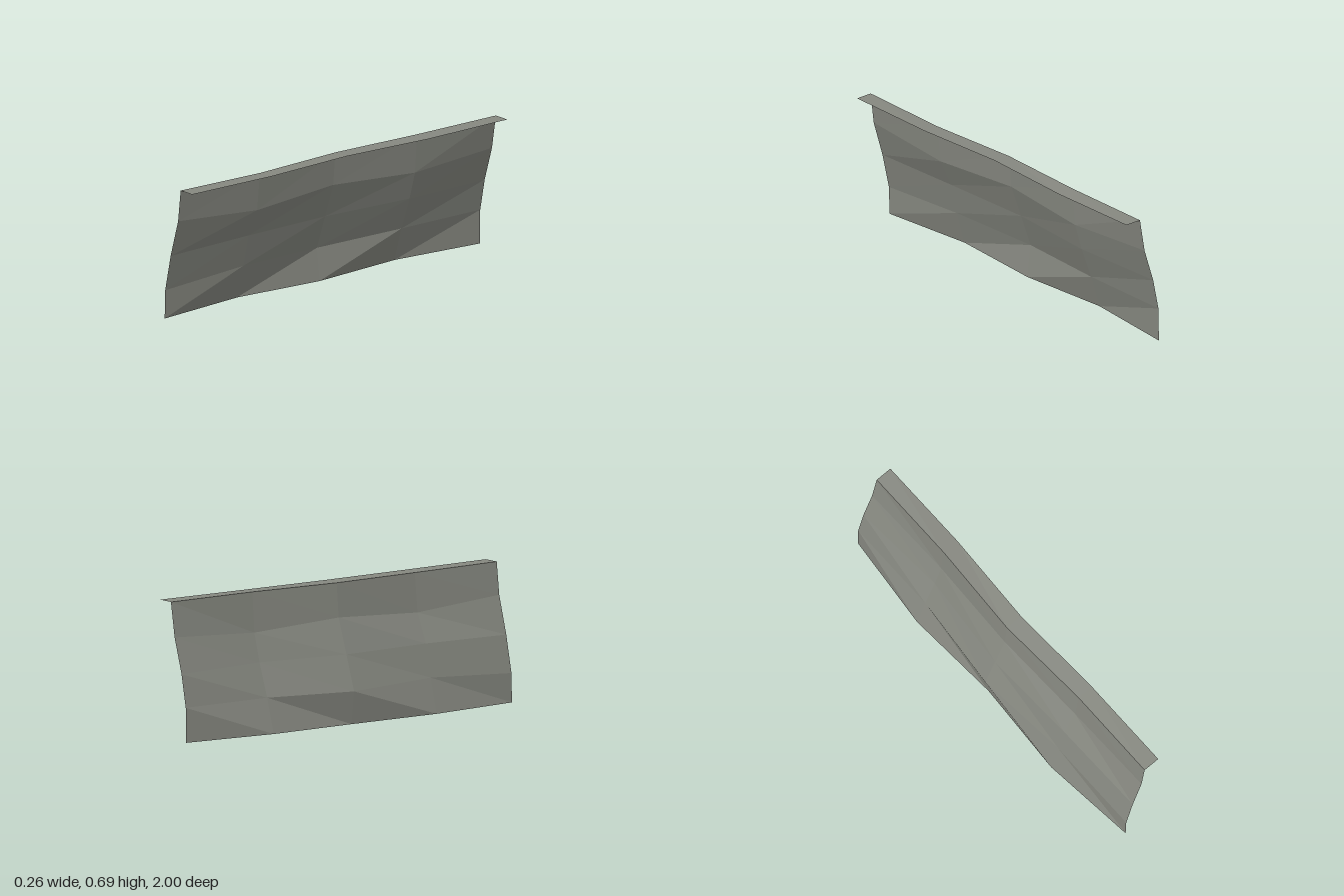
import * as THREE from 'three';

// Cross-sections [x, y] from foot to crest, one per z station
const sections = [
  { z: -1.0, pts: [[-0.083, 0.005], [-0.08, 0.178], [-0.046, 0.34], [0.01, 0.515], [0.04, 0.687]], lip: [0.128, 0.687] },
  { z: -0.5, pts: [[-0.133, 0.005], [-0.08, 0.178], [-0.018, 0.345], [0.024, 0.487], [0.04, 0.687]], lip: [0.13, 0.684] },
  { z: 0.0, pts: [[-0.103, 0], [-0.124, 0.165], [-0.062, 0.34], [0.001, 0.515], [0.017, 0.685]], lip: [0.108, 0.687] },
  { z: 0.5, pts: [[-0.133, 0.005], [-0.084, 0.178], [-0.045, 0.342], [0.022, 0.487], [0.044, 0.682]], lip: [0.13, 0.684] },
  { z: 1.0, pts: [[-0.083, 0.005], [-0.079, 0.15], [-0.037, 0.335], [0.02, 0.525], [0.04, 0.687]], lip: [0.128, 0.687] },
];

// Joins neighbouring open profiles into a faceted sheet
function loft(profiles) {
  const pos = [];
  for (let k = 0; k < profiles.length - 1; k++) {
    for (let j = 0; j < profiles[k].length - 1; j++) {
      const a = profiles[k][j], b = profiles[k + 1][j];
      const c = profiles[k + 1][j + 1], d = profiles[k][j + 1];
      pos.push(...a, ...b, ...d, ...b, ...c, ...d);
    }
  }
  const geo = new THREE.BufferGeometry();
  geo.setAttribute('position', new THREE.Float32BufferAttribute(pos, 3));
  geo.computeVertexNormals();
  return geo;
}

export function createModel() {
  const group = new THREE.Group();
  group.name = 'cliffSection';
  const rock = new THREE.MeshStandardMaterial({ color: 0x868880, flatShading: true, side: THREE.DoubleSide });
  rock.name = 'grey rock';

  const add = (name, pick) => {
    const mesh = new THREE.Mesh(loft(sections.map(s => pick(s).map(([x, y]) => [x, y, s.z]))), rock);
    mesh.name = name;
    group.add(mesh);
  };

  // Sloping cliff face
  add('cliffFace', s => s.pts);
  // Narrow flat ledge along the crest
  add('topLedge', s => [s.pts[4], s.lip]);

  return group;
}
